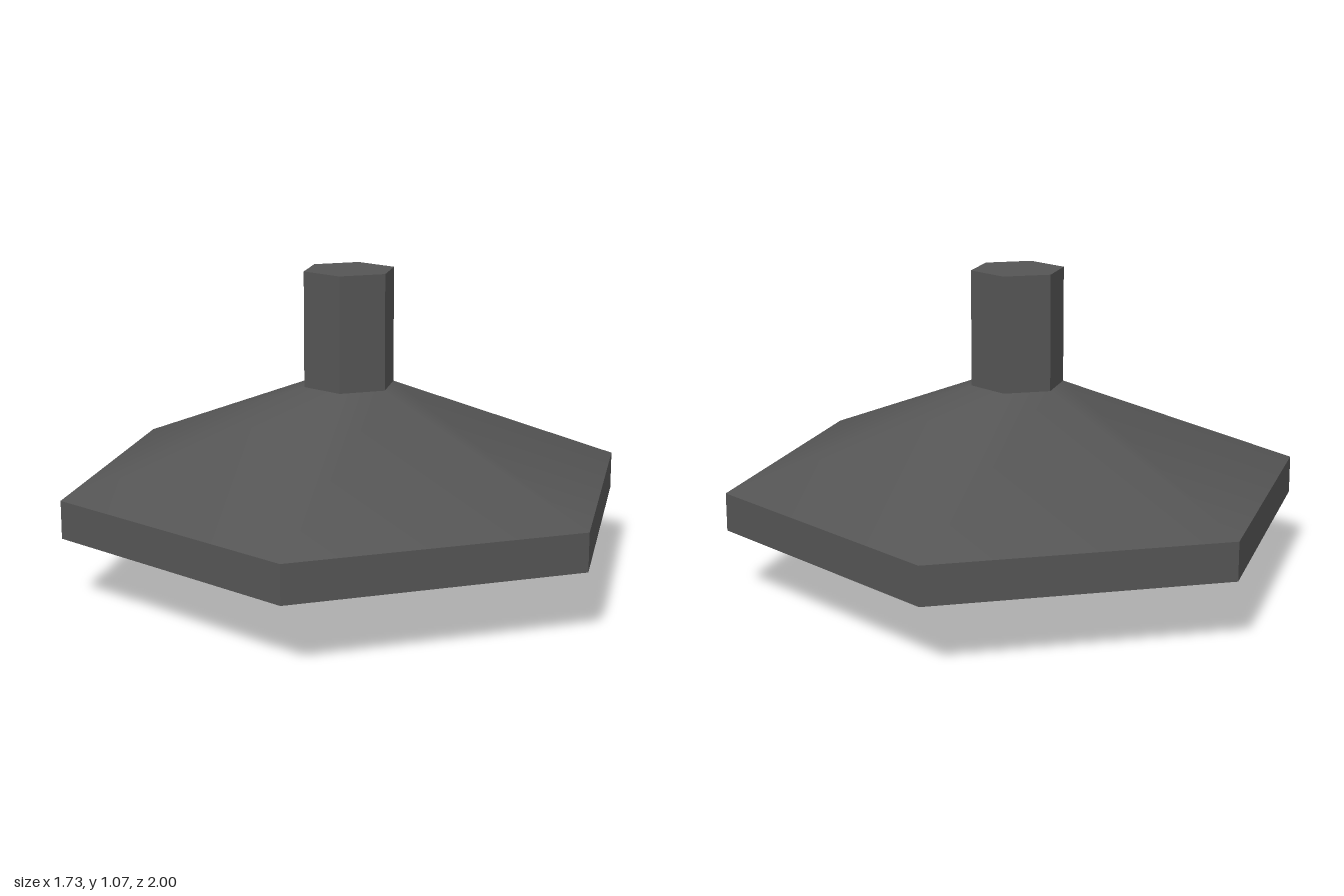
import * as THREE from 'three';

const SIDES = 6;

export function createModel() {
  const group = new THREE.Group();
  group.name = 'hangingLamp';

  const metal = new THREE.MeshStandardMaterial({ color: 0x555555 });
  metal.name = 'dark grey metal';
  const glass = new THREE.MeshStandardMaterial({ color: 0x8a8472 });
  glass.name = 'warm grey glass';

  const add = (name, geometry, material) => {
    const mesh = new THREE.Mesh(geometry, material);
    mesh.name = name;
    group.add(mesh);
  };

  // Six-sided band between two heights; flat bands get one normal per side
  const band = (name, rTop, rBottom, y0, y1, material, open, flat) => {
    let g = new THREE.CylinderGeometry(rTop, rBottom, y1 - y0, SIDES, 1, open);
    g.translate(0, (y0 + y1) / 2, 0);
    if (flat) {
      g = g.toNonIndexed();
      g.computeVertexNormals();
    }
    add(name, g, material);
  };

  // Six-sided smooth surface turned from a profile of [radius, height]
  const turned = (name, points, material) =>
    add(name, new THREE.LatheGeometry(points.map(([r, y]) => new THREE.Vector2(r, y)), SIDES), material);

  // Stem, sloping shade and upright rim
  band('stem', 0.16, 0.16, 0.67, 1.07, metal, false, true);
  band('shadeSlope', 0.16, 1, 0.35, 0.675, metal, true, false);
  band('shadeRim', 1, 1, 0.22, 0.35, metal, true, true);

  // Shallow hollow underneath the shade
  turned('shadeUnderside', [[0, 0.345], [0.5, 0.33], [0.75, 0.226], [1, 0.22]], metal);

  // Bulb: chamfered tip, body, shoulder and neck
  band('bulbTip', 0.13, 0.083, 0, 0.035, glass, false, true);
  band('bulbBody', 0.13, 0.13, 0.035, 0.26, glass, true, false);
  band('bulbShoulder', 0.055, 0.13, 0.26, 0.3, glass, true, false);
  band('bulbNeck', 0.055, 0.055, 0.3, 0.36, glass, true, false);

  return group;
}
